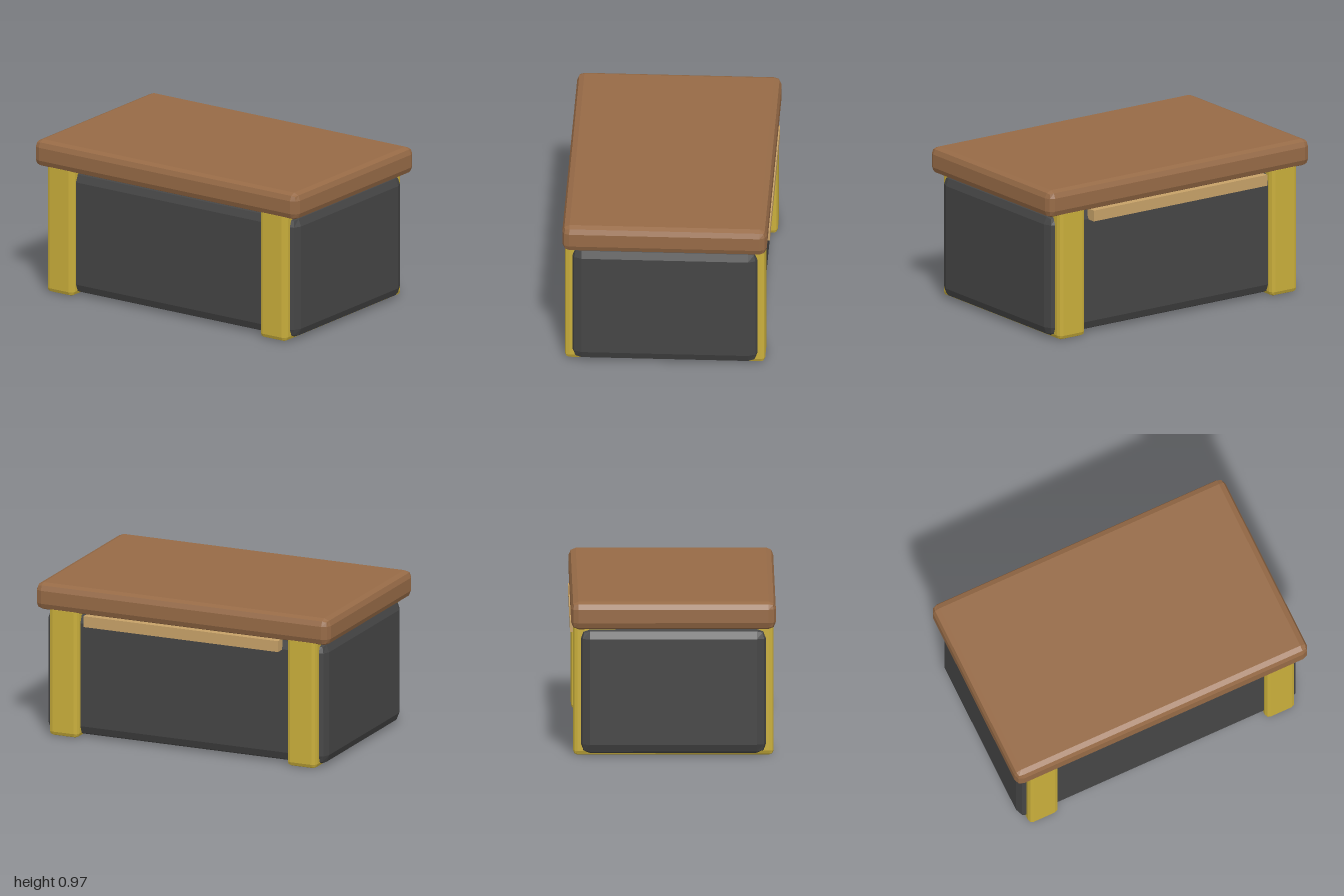
import * as THREE from 'three';

const mat = (name, color) => Object.assign(new THREE.MeshStandardMaterial({ color }), { name });

// Box spanning min..max whose edges are rounded by two flat facets of radius r
function roundedBox(min, max, r) {
  const lo = new THREE.Vector3(...min), hi = new THREE.Vector3(...max);
  const half = hi.clone().sub(lo).multiplyScalar(0.5);
  const centre = lo.clone().add(hi).multiplyScalar(0.5);
  const core = half.clone().subScalar(r);
  const box = new THREE.BoxGeometry(2, 2, 2, 3, 3, 3);
  const pos = box.attributes.position;
  const p = new THREE.Vector3(), dir = new THREE.Vector3(), sign = new THREE.Vector3();
  const outer = v => (Math.abs(v) > 0.9 ? Math.sign(v) : 0);
  for (let i = 0; i < pos.count; i++) {
    p.fromBufferAttribute(pos, i);
    sign.set(Math.sign(p.x), Math.sign(p.y), Math.sign(p.z));
    dir.set(outer(p.x), outer(p.y), outer(p.z)).normalize();
    p.copy(sign).multiply(core).addScaledVector(dir, r).add(centre);
    pos.setXYZ(i, p.x, p.y, p.z);
  }
  // Separate faces give flat facets
  const flat = box.toNonIndexed();
  flat.computeVertexNormals();
  return flat;
}

export function createModel() {
  const group = new THREE.Group();
  group.name = 'chest';
  const wood = mat('brown wood', 0x966a46);
  const metal = mat('yellow metal', 0xc9ae3b);
  const dark = mat('dark grey', 0x454545);
  const paleWood = mat('pale wood', 0xc6a168);

  const add = (name, geometry, material) => {
    const mesh = new THREE.Mesh(geometry, material);
    mesh.name = name;
    group.add(mesh);
  };

  // Body and overhanging lid
  add('body', roundedBox([-0.955, 0.008, -0.58], [0.955, 0.8, 0.58], 0.065), dark);
  add('lid', roundedBox([-1, 0.8, -0.633], [1, 0.973, 0.633], 0.045), wood);

  // Straps wrapped around the body, tucked into the lid
  for (const [name, x] of [['leftStrap', 0.81], ['rightStrap', -0.81]]) {
    add(name, roundedBox([x - 0.1, 0, -0.62], [x + 0.1, 0.84, 0.62], 0.028), metal);
  }

  // Hinge rail along the back
  const rail = new THREE.BoxGeometry(1.325, 0.07, 0.067);
  rail.translate(0, 0.767, -0.604);
  add('hingeRail', rail, paleWood);

  return group;
}
